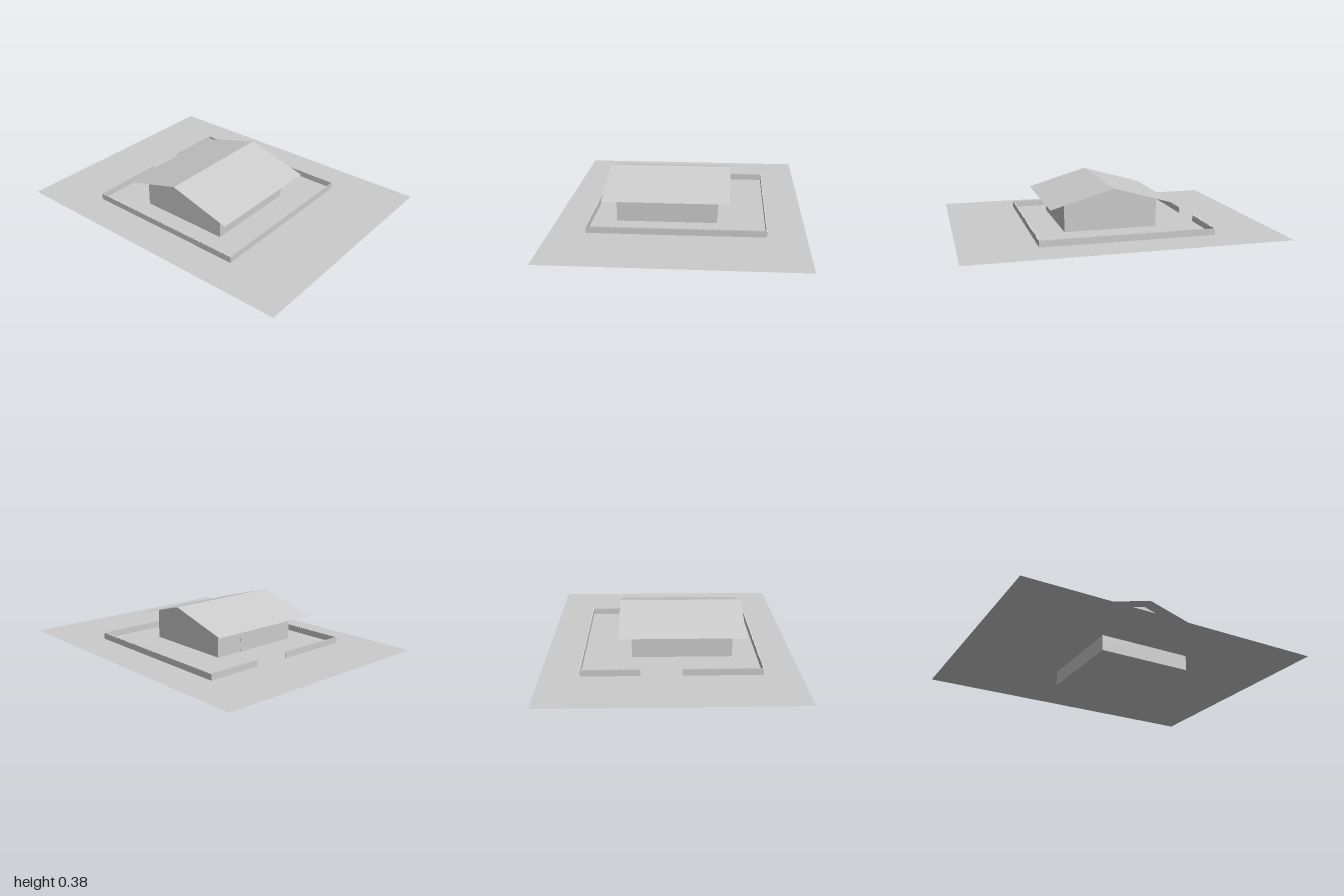
import * as THREE from 'three';

const GROUND = 0.1;

function material() {
  return new THREE.MeshStandardMaterial({ color: 0xcccccc, flatShading: true, side: THREE.DoubleSide });
}

function addMesh(parent, name, geometry) {
  const mesh = new THREE.Mesh(geometry, material());
  mesh.name = name;
  parent.add(mesh);
  return mesh;
}

// Picket panel along +x from the origin, with a sawtooth top edge
function picketPanel(length, height = 0.045, thickness = 0.005) {
  const teeth = Math.max(1, Math.round(length / 0.02));
  const step = length / teeth;
  const shape = new THREE.Shape();
  shape.moveTo(0, 0);
  shape.lineTo(length, 0);
  for (let i = teeth; i > 0; i--) {
    shape.lineTo(i * step, height - 0.008);
    shape.lineTo((i - 0.5) * step, height);
  }
  shape.lineTo(0, height - 0.008);
  shape.closePath();
  const geometry = new THREE.ExtrudeGeometry(shape, { depth: thickness, bevelEnabled: false });
  return geometry.translate(0, 0, -thickness / 2);
}

// Run of equal panels between two ground points [x, z]
function addFenceRun(parent, name, [x0, z0], [x1, z1], count) {
  const length = Math.hypot(x1 - x0, z1 - z0) / count;
  for (let i = 0; i < count; i++) {
    const t = i / count;
    const panel = addMesh(parent, name, picketPanel(length));
    panel.position.set(x0 + (x1 - x0) * t, GROUND, z0 + (z1 - z0) * t);
    panel.rotation.y = -Math.atan2(z1 - z0, x1 - x0);
  }
}

export function createModel() {
  const model = new THREE.Group();
  model.name = 'fencedHouse';

  // Flat yard, with the foundation reaching below it
  const yard = addMesh(model, 'yard', new THREE.PlaneGeometry(1.575, 2).rotateX(-Math.PI / 2));
  yard.position.y = GROUND;

  // Gabled house body: profile in (z, y), extruded along x
  const house = new THREE.Group();
  house.name = 'house';
  house.position.set(-0.08, 0, 0.005);
  model.add(house);
  const gable = new THREE.Shape();
  gable.moveTo(-0.305, 0);
  gable.lineTo(0.305, 0);
  gable.lineTo(0.305, 0.292);
  gable.lineTo(0, 0.377);
  gable.lineTo(-0.305, 0.292);
  gable.closePath();
  const walls = new THREE.ExtrudeGeometry(gable, { depth: 0.64, bevelEnabled: false });
  addMesh(house, 'walls', walls.translate(0, 0, -0.32).rotateY(-Math.PI / 2));

  // Two thin roof slopes meeting at the ridge
  const rise = 0.117, run = 0.408;
  for (const side of [1, -1]) {
    const slope = new THREE.PlaneGeometry(0.8, Math.hypot(rise, run)).rotateX(-Math.PI / 2);
    const roof = addMesh(house, side > 0 ? 'frontRoof' : 'backRoof', slope);
    roof.rotation.x = side * Math.atan2(rise, run);
    roof.position.set(0, 0.381 - rise / 2, side * run / 2);
  }

  // Back door facing the fence opening
  const door = addMesh(house, 'door', new THREE.BoxGeometry(0.06, 0.09, 0.006));
  door.position.set(0.1, GROUND + 0.045, -0.306);

  // Picket fence with an opening at the back
  const fence = new THREE.Group();
  fence.name = 'fence';
  model.add(fence);
  const left = 0.545, right = -0.56, front = 0.523, back = -0.585;
  addFenceRun(fence, 'frontFence', [right, front], [left, front], 4);
  addFenceRun(fence, 'leftFence', [left, front], [left, back], 4);
  addFenceRun(fence, 'rightFence', [right, back], [right, front], 4);
  addFenceRun(fence, 'backFence', [right, back], [-0.07, back], 2);
  addFenceRun(fence, 'backFence', [0.18, back], [left, back], 2);

  return model;
}
